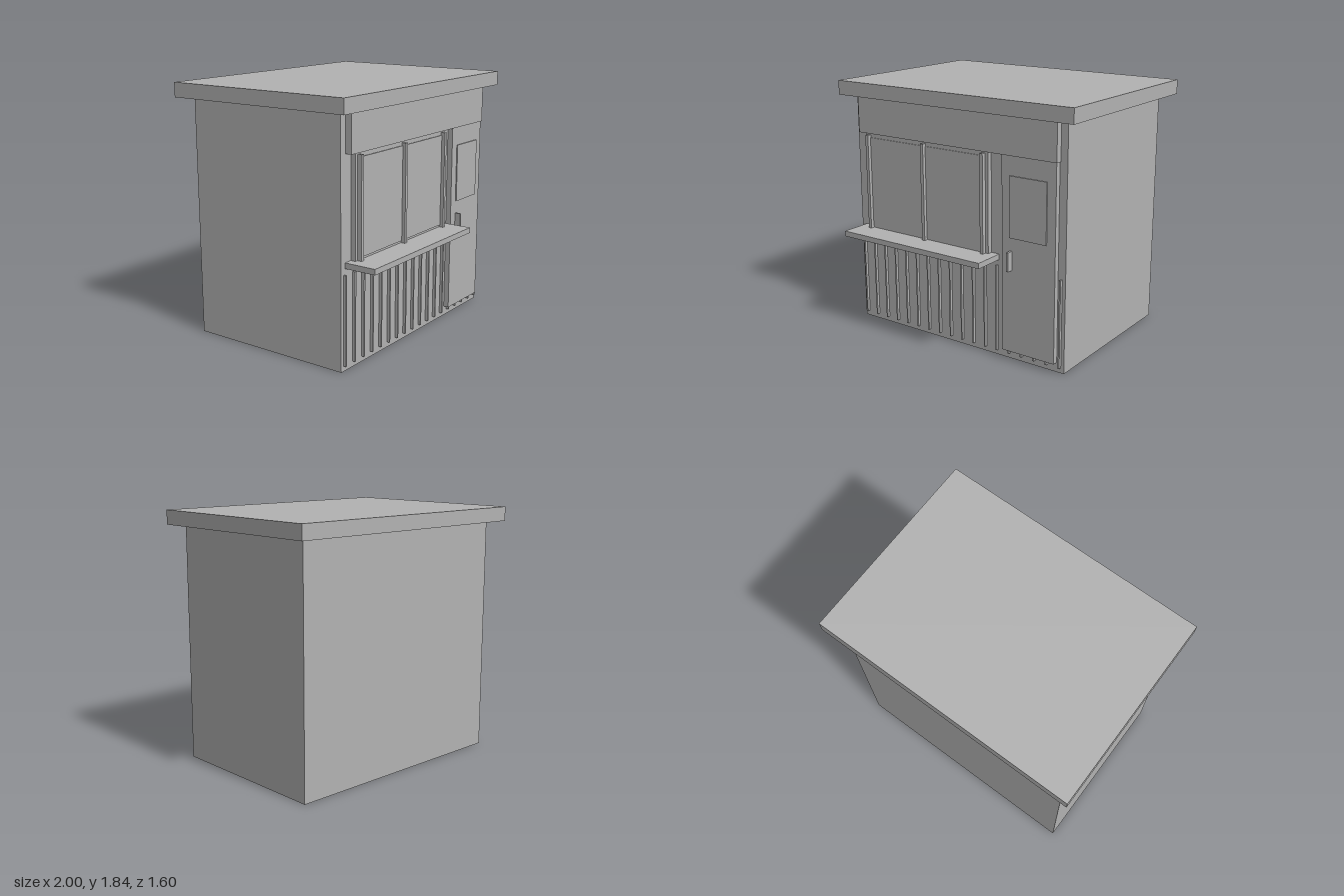
import * as THREE from 'three';

export function createModel() {
  const kiosk = new THREE.Group();
  kiosk.name = 'kiosk';
  const grey = new THREE.MeshStandardMaterial({ color: 0xb2b2b2 });
  grey.name = 'plain grey';

  // Box given by its limits on each axis
  function box(name, [x0, x1], [y0, y1], [z0, z1], parent = kiosk) {
    const mesh = new THREE.Mesh(new THREE.BoxGeometry(x1 - x0, y1 - y0, z1 - z0), grey);
    mesh.position.set((x0 + x1) / 2, (y0 + y1) / 2, (z0 + z1) / 2);
    mesh.name = name;
    parent.add(mesh);
    return mesh;
  }

  // Cabin and overhanging flat roof
  const wall = 0.565;
  box('cabin', [-0.908, 0.905], [0, 1.735], [-0.7, wall]);
  box('roof', [-1, 1], [1.735, 1.84], [-0.8, 0.66]);

  // Fascia board under the roof
  box('fascia', [-0.857, 0.853], [1.465, 1.735], [wall, 0.613]);

  // Serving window with glass and mullions
  const servingWindow = new THREE.Group();
  servingWindow.name = 'servingWindow';
  kiosk.add(servingWindow);
  box('windowPanel', [-0.8, 0.305], [0.75, 1.465], [wall, 0.603], servingWindow);
  box('windowGlass', [-0.765, 0.27], [0.765, 1.435], [0.603, 0.609], servingWindow);
  for (const x of [-0.765, -0.247, 0.27]) {
    box('mullion', [x - 0.0125, x + 0.0125], [0.75, 1.455], [0.603, 0.635], servingWindow);
  }

  // Counter shelf
  box('counter', [-0.863, 0.37], [0.71, 0.75], [wall, 0.8]);

  // Door with pane and handle
  const door = new THREE.Group();
  door.name = 'door';
  kiosk.add(door);
  box('doorLeaf', [0.42, 0.847], [0.07, 1.465], [wall, 0.605], door);
  box('doorPane', [0.487, 0.78], [0.9, 1.33], [0.605, 0.613], door);
  box('doorHandle', [0.487, 0.503], [0.67, 0.807], [0.605, 0.65], door);

  // Vertical battens along the lower front wall
  const battens = new THREE.Group();
  battens.name = 'battens';
  kiosk.add(battens);
  for (let i = 0; i < 18; i++) {
    const x = -0.877 + i * 0.103;
    box('batten', [x - 0.006, x + 0.006], [0.038, 0.67], [wall, 0.586], battens);
  }

  return kiosk;
}
